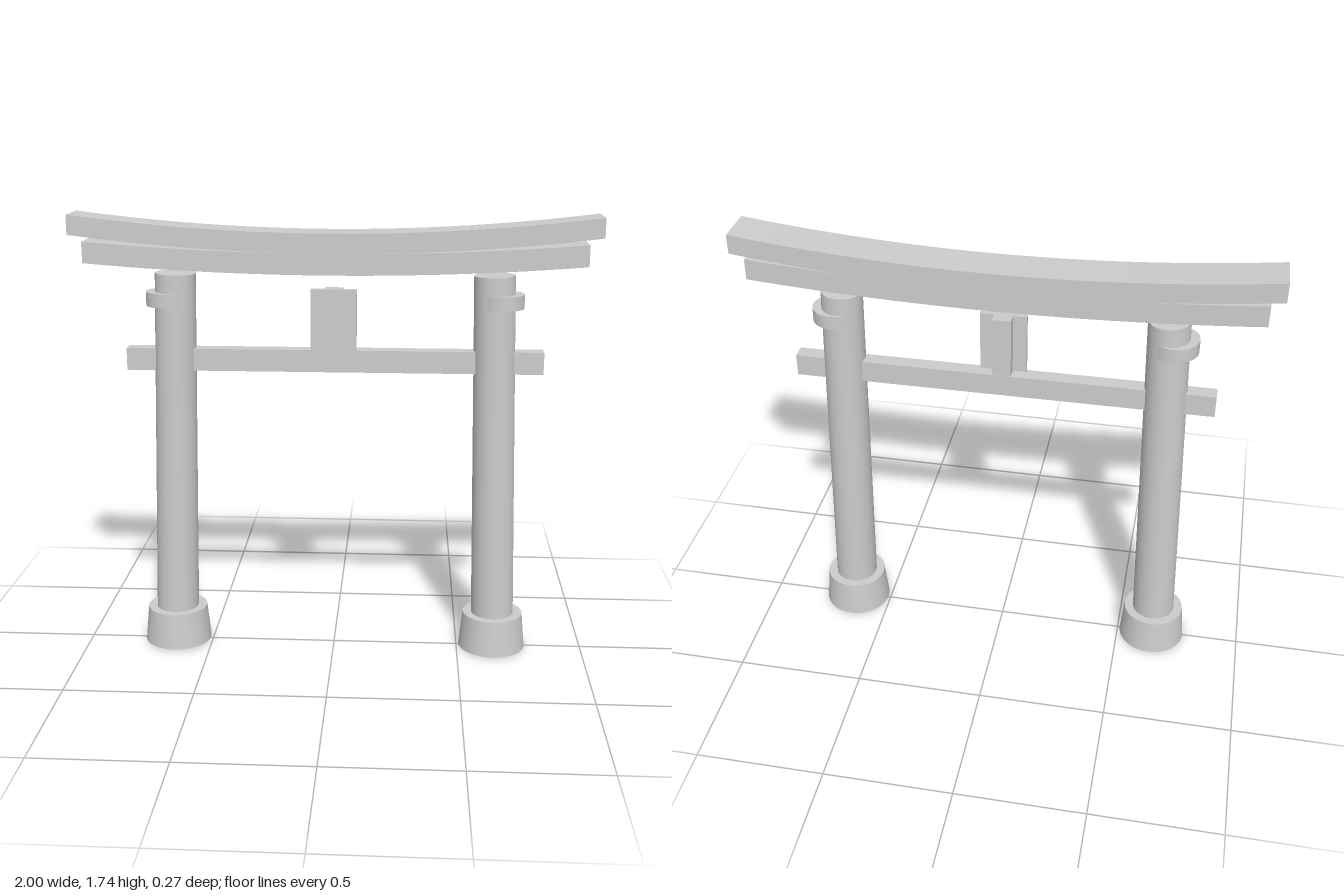
import * as THREE from 'three';

const stone = new THREE.MeshStandardMaterial({ color: 0xcccccc });
stone.name = 'pale grey';

function add(parent, name, geometry, x = 0, y = 0, z = 0) {
  const mesh = new THREE.Mesh(geometry, stone);
  mesh.name = name;
  mesh.position.set(x, y, z);
  parent.add(mesh);
  return mesh;
}

// Beam that sweeps upward toward its ends, with a rectangular section
function curvedBeam(halfLength, bottom, height, rise, halfDepth) {
  const steps = 28;
  const lower = [], upper = [];
  for (let i = 0; i <= steps; i++) {
    const t = (i / steps) * 2 - 1;
    const y = bottom + rise * t * t;
    lower.push(new THREE.Vector2(t * halfLength, y));
    upper.unshift(new THREE.Vector2(t * halfLength, y + height));
  }
  const shape = new THREE.Shape([...lower, ...upper]);
  const geometry = new THREE.ExtrudeGeometry(shape, { depth: halfDepth * 2, bevelEnabled: false });
  return geometry.translate(0, 0, -halfDepth);
}

export function createModel() {
  const gate = new THREE.Group();
  gate.name = 'gate';

  // Pillars leaning inward, each with a footing and an offset collar
  for (const side of [-1, 1]) {
    const name = side > 0 ? 'left' : 'right';
    const foot = new THREE.Vector3(side * 0.645, 0.002, 0);
    const head = new THREE.Vector3(side * 0.608, 1.514, 0);
    const axis = head.clone().sub(foot);
    const pillar = add(gate, name + 'Pillar', new THREE.CylinderGeometry(0.078, 0.085, axis.length(), 40));
    pillar.position.copy(foot).addScaledVector(axis, 0.5);
    pillar.quaternion.setFromUnitVectors(new THREE.Vector3(0, 1, 0), axis.normalize());

    add(gate, name + 'Footing', new THREE.CylinderGeometry(0.119, 0.133, 0.144, 40), side * 0.642, 0.076);
    add(gate, name + 'Collar', new THREE.CylinderGeometry(0.09, 0.09, 0.054, 40), side * 0.633, 1.417);
  }

  // Straight tie beam through the pillars
  add(gate, 'tieBeam', new THREE.BoxGeometry(1.606, 0.086, 0.06), 0, 1.181);

  // Central strut and the blank tablet in front of it
  add(gate, 'centreStrut', new THREE.BoxGeometry(0.072, 0.24, 0.054), 0, 1.339);
  add(gate, 'tablet', new THREE.BoxGeometry(0.176, 0.237, 0.02), 0, 1.341, 0.025);

  // Two stacked curved lintels
  add(gate, 'lowerLintel', curvedBeam(0.95, 1.517, 0.081, 0.039, 0.065));
  add(gate, 'upperLintel', curvedBeam(1, 1.6, 0.075, 0.064, 0.08));

  return gate;
}
